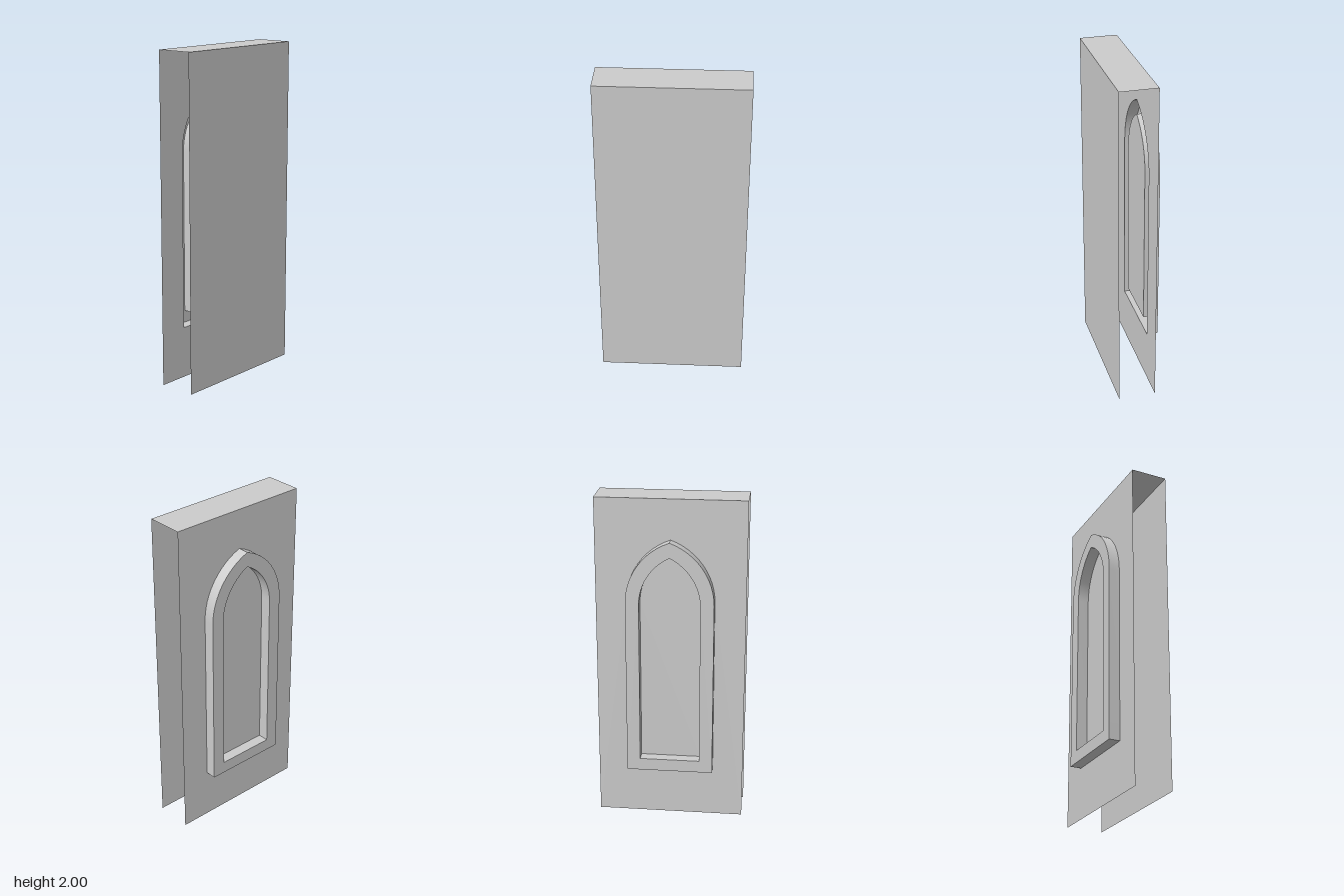
import * as THREE from 'three';
import { toCreasedNormals } from 'three/addons/utils/BufferGeometryUtils.js';

const BACK = -0.08, FRONT = -0.147, FAR = 0.145, HALF = 0.443, H = 2;

// Closed outline of a pointed arch: half width, sill, spring and apex heights
function archPoints(w, sill, spring, apex, steps = 12) {
  const rise = apex - spring;
  const r = (w * w + rise * rise) / (2 * w);
  const end = Math.asin(rise / r);
  const right = [new THREE.Vector2(w, sill)];
  for (let i = 0; i <= steps; i++) {
    const a = (end * i) / steps;
    right.push(new THREE.Vector2(w - r + r * Math.cos(a), spring + r * Math.sin(a)));
  }
  right[right.length - 1].set(0, apex);
  const left = right.slice(0, -1).reverse().map(p => new THREE.Vector2(-p.x, p.y));
  return [...right, ...left];
}

// Flat face lying in a plane of constant x, with outline given as (z, y)
function face(outline, hole, x) {
  const shape = new THREE.Shape(outline);
  if (hole) shape.holes.push(new THREE.Path(hole));
  return new THREE.ShapeGeometry(shape).rotateY(-Math.PI / 2).translate(x, 0, 0);
}

// Wall that sweeps an outline from the wall surface out to the frame front
function rim(outline, inward) {
  const pos = [];
  outline.forEach((p, i) => {
    let a = p, b = outline[(i + 1) % outline.length];
    if (inward) [a, b] = [b, a];
    pos.push(BACK, a.y, a.x, BACK, b.y, b.x, FRONT, b.y, b.x);
    pos.push(BACK, a.y, a.x, FRONT, b.y, b.x, FRONT, a.y, a.x);
  });
  const g = new THREE.BufferGeometry();
  g.setAttribute('position', new THREE.Float32BufferAttribute(pos, 3));
  g.computeVertexNormals();
  return toCreasedNormals(g, 0.5);
}

export function createModel() {
  const model = new THREE.Group();
  const grey = new THREE.MeshStandardMaterial({ color: 0xcccccc, side: THREE.DoubleSide });
  const add = (name, geometry, parent = model) => {
    const mesh = new THREE.Mesh(geometry, grey);
    mesh.name = name;
    parent.add(mesh);
  };

  const outer = archPoints(0.26, 0.315, 1.39, 1.76);
  const inner = archPoints(0.18, 0.39, 1.38, 1.67);
  const slab = [[-HALF, 0], [HALF, 0], [HALF, H], [-HALF, H]].map(p => new THREE.Vector2(...p));

  // Thin wall shell, open at both ends and underneath
  add('windowWall', face(slab, outer, BACK));
  add('plainWall', new THREE.PlaneGeometry(2 * HALF, H).rotateY(Math.PI / 2).translate(FAR, H / 2, 0));
  add('wallTop', new THREE.PlaneGeometry(FAR - BACK, 2 * HALF).rotateX(-Math.PI / 2)
    .translate((FAR + BACK) / 2, H, 0));

  // Blind window: raised pointed frame, hollow behind, around a flat panel
  const frame = new THREE.Group();
  frame.name = 'archFrame';
  model.add(frame);
  add('frameFront', face(outer, inner, FRONT), frame);
  add('frameOuterRim', rim(outer, false), frame);
  add('frameInnerRim', rim(inner, true), frame);
  add('windowPanel', face(inner, null, BACK));

  return model;
}
